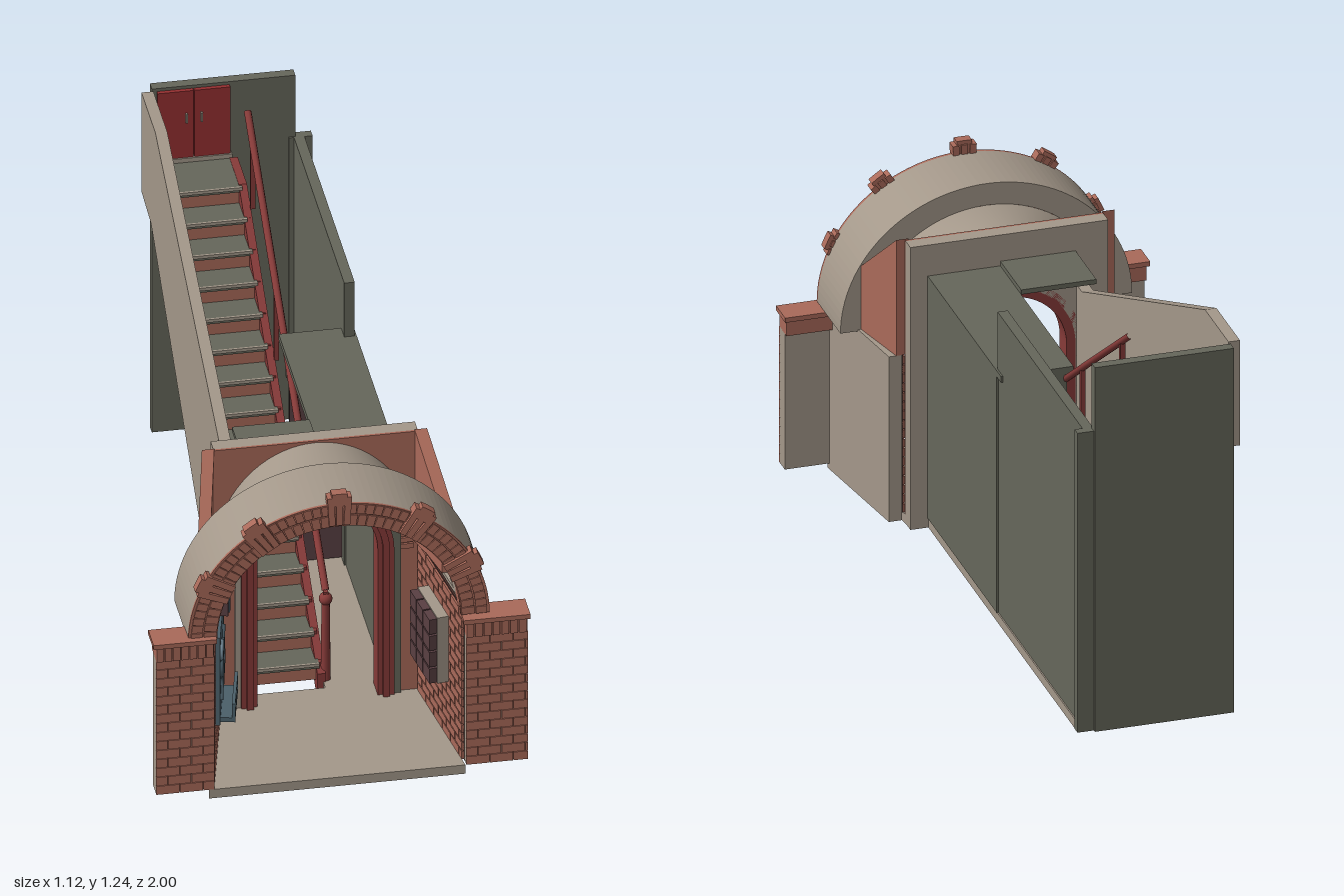
import * as THREE from 'three';
import { mergeGeometries } from 'three/addons/utils/BufferGeometryUtils.js';
import { ParametricGeometry } from 'three/addons/geometries/ParametricGeometry.js';

const mat = (name, color, side = THREE.FrontSide) => {
  const m = new THREE.MeshStandardMaterial({ color, side });
  m.name = name;
  return m;
};

export function createModel() {
  const root = new THREE.Group();
  root.name = 'archedStairEntrance';
  const brick = mat('brick', 0xaa6a5a, THREE.DoubleSide);
  const mortar = mat('mortar', 0x4a302b);
  const stone = mat('stone', 0xa4988a, THREE.DoubleSide);
  const olive = mat('olive', 0x66675b);
  const doorRed = mat('doorRed', 0x962f31);
  const frameRed = mat('frameRed', 0x873b39);
  const slate = mat('slate', 0x4c606a);
  const paleBlue = mat('paleBlue', 0x748b99);
  const maroon = mat('maroon', 0x5a4043);

  const add = (name, geo, material, parent = root) => {
    const m = new THREE.Mesh(geo, material);
    m.name = name;
    parent.add(m);
    return m;
  };
  // Box geometry from its limits
  const boxGeo = (x0, x1, y0, y1, z0, z1) =>
    new THREE.BoxGeometry(x1 - x0, y1 - y0, z1 - z0).translate((x0 + x1) / 2, (y0 + y1) / 2, (z0 + z1) / 2);
  const box = (name, material, x0, x1, y0, y1, z0, z1, parent) =>
    add(name, boxGeo(x0, x1, y0, y1, z0, z1), material, parent);
  const extrude = (shape, z0, z1) =>
    new THREE.ExtrudeGeometry(shape, { depth: z1 - z0, bevelEnabled: false, curveSegments: 32 }).translate(0, 0, z0);
  // Upright slab from a [z, y] outline; slope shifts x along z
  const slab = (name, material, pts, x0, x1, slope = 0) => {
    const shape = new THREE.Shape(pts.map(([z, y]) => new THREE.Vector2(-z, y)));
    const g = extrude(shape, x0, x1).rotateY(Math.PI / 2);
    const p = g.attributes.position;
    for (let i = 0; i < p.count; i++) p.setX(i, p.getX(i) + slope * (p.getZ(i) - 0.55));
    g.computeVertexNormals();
    return add(name, g, material);
  };
  // Running-bond bricks on a local xy plane
  const bricks = (w, h, depth, row = 0.03, len = 0.075, gap = 0.004) => {
    const list = [];
    const rows = Math.round(h / row), rh = h / rows;
    for (let r = 0; r < rows; r++) {
      for (let x = r % 2 ? -len / 2 : 0; x < w - 0.002; x += len) {
        const a = Math.max(x, 0), b = Math.min(x + len - gap, w);
        if (b - a > 0.004) list.push(boxGeo(a, b, r * rh, (r + 1) * rh - gap, 0, depth));
      }
    }
    return mergeGeometries(list);
  };
  // Radial bricks round an arch, angles measured from +x
  const archBricks = (cx, cy, r0, r1, a0, a1, n, z0, z1, fill = 0.9) => {
    const list = [];
    for (let i = 0; i < n; i++) {
      const a = a0 + ((i + 0.5) * (a1 - a0)) / n;
      const w = (r0 * (a1 - a0) / n) * fill;
      list.push(boxGeo(r0, r1, -w / 2, w / 2, z0, z1).rotateZ(a).translate(cx, cy, 0));
    }
    return mergeGeometries(list);
  };

  // Floors
  const floor = new THREE.Shape([[-0.395, -0.99], [0.365, -0.99], [0.3, -0.5], [-0.3, -0.5]]
    .map(([x, y]) => new THREE.Vector2(x, y)));
  add('porchFloor', extrude(floor, 0.03, 0.06).rotateX(-Math.PI / 2), stone);
  box('passageFloor', stone, 0.04, 0.25, 0.03, 0.06, -0.9, 0.52);

  // Front pillars with corbelled caps
  for (const [x0, x1, top] of [[-0.55, -0.378, 0.58], [0.368, 0.55, 0.562]]) {
    box('pillar', stone, x0, x1, 0.06, top - 0.06, 0.935, 0.982);
    add('pillarBricks', bricks(x1 - x0, top - 0.12, 0.01, 0.03, 0.07, 0.002), brick).position.set(x0, 0.06, 0.98);
    box('pillarCap', brick, x0 - 0.01, x1 + 0.006, top - 0.015, top, 0.912, 1);
    box('pillarCapCore', brick, x0, x1, top - 0.062, top - 0.015, 0.918, 0.985);
    for (let i = 0; i < 7; i++) {
      const x = x0 + (i * (x1 - x0)) / 7;
      box('capBrick', brick, x, x + 0.021, top - 0.062, top - 0.015, 0.984, 0.996);
    }
  }

  // Front barrel arch
  const AX = -0.007, AY = 0.57;
  const ring = (ro, ri, ho, hi) => {
    const s = new THREE.Shape();
    s.moveTo(AX + ro, AY);
    s.absellipse(AX, AY, ro, ho, 0, Math.PI, false);
    s.lineTo(AX - ri, AY);
    s.absellipse(AX, AY, ri, hi, Math.PI, 0, true);
    return s;
  };
  const smooth = g => {
    g.deleteAttribute('uv');
    return g;
  };
  add('barrelArch', smooth(extrude(ring(0.446, 0.365, 0.42, 0.35), 0.75, 0.968)), stone);
  add('archFace', extrude(ring(0.446, 0.36, 0.42, 0.345), 0.968, 0.977), brick);
  for (const [r0, r1, n] of [[0.363, 0.401, 44], [0.405, 0.438, 50]])
    add('archBricks', archBricks(AX, AY, r0, r1, 0, Math.PI, n, 0.97, 0.981, 0.94)
      .translate(0, -AY, 0).scale(1, 0.955, 1).translate(0, AY, 0), brick);
  for (const deg of [25, 55, 90, 125, 155]) {
    const a = THREE.MathUtils.degToRad(deg);
    add('keystone', archBricks(AX, AY, 0.355, 0.45, a - 0.09, a + 0.09, 3, 0.955, 0.99), brick);
    add('keystoneCrown', archBricks(AX, AY, 0.42, 0.462, a - 0.05, a + 0.05, 2, 0.96, 0.99, 1.1), brick);
  }

  // Vault surfaces, half ellipses lofted along z
  const vault = (name, material, rx0, ry0, z0, rx1, ry1, z1) =>
    add(name, new ParametricGeometry((u, v, t) => {
      const a = Math.PI * u, L = THREE.MathUtils.lerp;
      t.set(AX * (1 - v) + L(rx0, rx1, v) * Math.cos(a), AY + L(ry0, ry1, v) * Math.sin(a), L(z0, z1, v));
    }, 40, 1), material);
  vault('barrelLining', brick, 0.362, 0.347, 0.97, 0.362, 0.347, 0.75);
  vault('taperedVault', stone, 0.365, 0.35, 0.75, 0.3, 0.37, 0.545);
  vault('taperedLining', brick, 0.356, 0.34, 0.75, 0.29, 0.36, 0.545);

  // Splayed porch walls and brick spandrels
  const porchWall = [[0.55, 0.04], [0.55, 0.575], [0.95, 0.575], [0.95, 0.04]];
  slab('leftPorchWall', stone, porchWall, 0.315, 0.355, 0.15);
  slab('rightPorchWall', stone, porchWall, -0.345, -0.295, -0.22);
  const spandrel = [[0.55, 0.575], [0.55, 0.95], [0.75, 0.78], [0.75, 0.575]];
  slab('leftSpandrel', brick, spandrel, 0.295, 0.332, 0.22);
  slab('rightSpandrel', brick, spandrel, -0.335, -0.298, -0.24);

  // Wall frames: local x along the wall, local z into the porch
  const wallFrame = (name, x0, z0, x1, z1) => {
    const g = new THREE.Group();
    g.name = name;
    g.position.set(x0, 0, z0);
    g.rotation.y = Math.atan2(z0 - z1, x1 - x0);
    root.add(g);
    box('mortarBacking', mortar, 0, 0.4, 0.06, 0.57, -0.004, 0.002, g);
    add('wallBricks', bricks(0.4, 0.51, 0.008), brick, g).position.y = 0.06;
    return g;
  };
  const west = wallFrame('rightInnerWall', -0.378, 0.95, -0.288, 0.56);
  const east = wallFrame('leftInnerWall', 0.31, 0.56, 0.367, 0.95);

  // Relief panel with shelf
  box('reliefPanel', slate, 0.04, 0.24, 0.23, 0.53, 0.008, 0.022, west);
  add('reliefRing', new THREE.TorusGeometry(0.025, 0.007, 8, 20), paleBlue, west).position.set(0.09, 0.46, 0.024);
  for (let i = 0; i < 3; i++) {
    const path = new THREE.CatmullRomCurve3([0, 1, 2, 3].map(k =>
      new THREE.Vector3(0.08 + i * 0.05 + (k % 2 ? 0.02 : -0.01), 0.3 + k * 0.05 + i * 0.015, 0.023)));
    add('reliefBranch', new THREE.TubeGeometry(path, 16, 0.007, 6), slate, west);
  }
  box('shelf', slate, 0.06, 0.24, 0.23, 0.245, 0.01, 0.065, west);
  box('shelfRail', slate, 0.06, 0.24, 0.28, 0.292, 0.055, 0.065, west);
  for (const x of [0.06, 0.145, 0.23]) box('shelfPost', slate, x, x + 0.01, 0.245, 0.285, 0.055, 0.065, west);

  // Small wall pictures
  [0.05, 0.15, 0.23, 0.31].forEach((x, i) => {
    box('pictureFrame', i ? slate : maroon, x, x + 0.045, 0.6, 0.66, 0.01, 0.045, west);
    box('picture', i ? paleBlue : slate, x + 0.007, x + 0.038, 0.608, 0.652, 0.045, 0.05, west);
  });

  // Letter boxes
  box('boxBacking', stone, 0.1, 0.28, 0.255, 0.48, 0, 0.042, east);
  for (let r = 0; r < 4; r++) for (let c = 0; c < 3; c++)
    box('letterBox', maroon, 0.102 + c * 0.06, 0.157 + c * 0.06, 0.258 + r * 0.056, 0.308 + r * 0.056, 0.04, 0.066, east);

  // Cross wall with arched doorway
  const DX = 0.005, DY = 0.56;
  const U = (s, r, clockwise) => {
    const k = clockwise ? -1 : 1;
    s.lineTo(DX + k * r, 0.06);
    s.lineTo(DX + k * r, DY);
    s.absarc(DX, DY, r, clockwise ? Math.PI : 0, clockwise ? 0 : Math.PI, clockwise);
    s.lineTo(DX - k * r, 0.06);
  };
  const wall = new THREE.Shape();
  wall.moveTo(-0.3, 0.06);
  wall.lineTo(-0.3, 0.945);
  wall.lineTo(0.305, 0.945);
  wall.lineTo(0.305, 0.06);
  U(wall, 0.205, false);
  add('crossWall', extrude(wall, 0.5, 0.545), stone);
  add('crossWallFace', extrude(wall, 0.545, 0.553), brick);
  box('wallBase', stone, -0.3, 0.305, 0.03, 0.06, 0.5, 0.55);
  add('doorArchBricks', archBricks(DX, DY, 0.228, 0.285, -0.05, Math.PI + 0.05, 40, 0.55, 0.56, 0.88), brick);
  for (const [ro, ri, z1] of [[0.226, 0.205, 0.572], [0.212, 0.192, 0.582], [0.2, 0.178, 0.567]]) {
    const s = new THREE.Shape();
    s.moveTo(DX - ro, 0.06);
    U(s, ro, true);
    U(s, ri, false);
    add('doorFrame', extrude(s, 0.5, z1), frameRed);
  }
  box('cornerTrim', stone, -0.287, -0.274, 0.06, 0.54, 0.55, 0.575);

  // Stair flight
  const N = 16, rise = 0.058, run = 0.083, Z0 = 0.45;
  for (let i = 0; i < N; i++) {
    const z = Z0 - i * run, y = 0.06 + (i + 1) * rise, back = i === N - 1 ? -0.955 : z - run;
    box('riser', brick, -0.2, 0.03, y - rise, y - 0.015, z - 0.01, z);
    box('tread', olive, -0.2, 0.03, y - 0.018, y, back - 0.005, z + 0.006);
    box('nosing', stone, -0.2, 0.03, y - 0.009, y + 0.001, z + 0.004, z + 0.011);
    box('stringerTooth', frameRed, 0.024, 0.04, y - rise, y - 0.002, z - run, z);
  }
  const stringer = [[0.47, 0], [0.47, 0.09], [-0.8, 0.99], [-0.95, 0.99], [-0.95, 0.9], [-0.8, 0.89]];
  slab('redStringer', frameRed, stringer, 0.022, 0.046);
  slab('stoneStringer', stone, stringer, -0.203, -0.185);
  slab('stairWall', stone,
    [[0.565, 0.06], [0.565, 0.75], [0.45, 0.75], [-0.73, 1.24], [-0.955, 1.24], [-0.955, 0.9], [-0.8, 0.885], [0.42, 0.04]],
    -0.238, -0.203);

  // Handrail, newel and posts
  const rail = new THREE.LineCurve3(new THREE.Vector3(0.05, 0.36, 0.45), new THREE.Vector3(0.05, 1.232, -0.81));
  add('handrail', new THREE.TubeGeometry(rail, 1, 0.011, 8), frameRed);
  for (const z of [0.45, 0.03, -0.35, -0.73]) {
    const t = (0.45 - z) / 1.26;
    box('railPost', frameRed, 0.043, 0.057, 0.06 + t * 0.95, 0.36 + t * 0.872, z - 0.007, z + 0.007);
  }
  add('newelKnob', new THREE.SphereGeometry(0.02, 16, 10), frameRed).position.set(0.05, 0.335, 0.45);
  add('newel', new THREE.CylinderGeometry(0.012, 0.015, 0.28, 12), frameRed).position.set(0.05, 0.2, 0.45);

  // Olive passage walls, roofs and end panel
  slab('passageWall', olive,
    [[0.565, 0.06], [0.565, 0.775], [0.5, 0.775], [0.5, 0.845], [-0.16, 0.845], [-0.16, 0.06]], 0.22, 0.252);
  box('shaftWall', olive, 0.215, 0.246, 0.06, 1.03, -0.965, -0.15);
  box('passageRoof', olive, 0.03, 0.252, 0.825, 0.845, -0.2, 0.5);
  box('stairRoof', olive, -0.2, 0.03, 0.845, 0.86, 0.3, 0.5);
  box('passageHeader', olive, 0.05, 0.216, 0.7, 0.83, -0.2, -0.185);
  box('passageDoor', maroon, 0.06, 0.216, 0.065, 0.7, -0.2, -0.188);
  box('endPanel', olive, -0.205, 0.22, 0.06, 1.24, -1, -0.968);
  box('endReturn', olive, 0.2, 0.27, 0.06, 1.03, -0.99, -0.962);

  // Upper double door
  for (const [x0, x1, h] of [[-0.19, -0.084, -0.105], [-0.081, 0.025, -0.06]]) {
    box('upperDoor', doorRed, x0, x1, 1, 1.23, -0.968, -0.955);
    box('doorHandle', stone, h - 0.003, h + 0.003, 1.125, 1.155, -0.955, -0.945);
  }
  box('doorThreshold', stone, -0.2, 0.03, 0.988, 1.002, -0.968, -0.95);
  return root;
}
